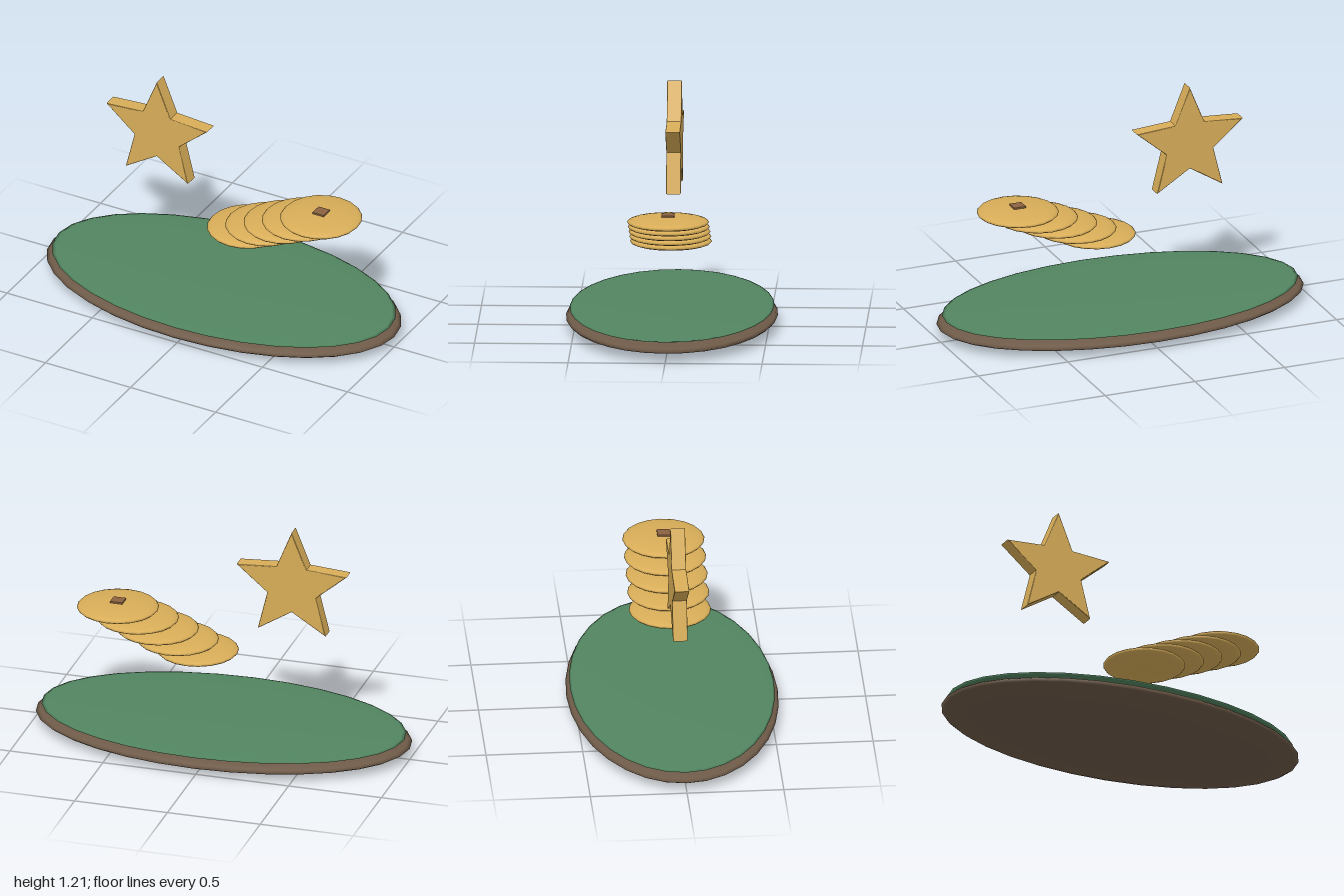
import * as THREE from 'three';

const material = (color) => new THREE.MeshStandardMaterial({ color });

function addMesh(parent, name, geometry, mat, x, y, z) {
  const mesh = new THREE.Mesh(geometry, mat);
  mesh.name = name;
  mesh.position.set(x, y, z);
  parent.add(mesh);
  return mesh;
}

// Flattened sphere with half-sizes rx, ry, rz
function lens(rx, ry, rz, segments, rings) {
  return new THREE.SphereGeometry(1, segments, rings).scale(rx, ry, rz);
}

function starShape(outer, inner) {
  const points = [];
  for (let i = 0; i < 10; i++) {
    const r = i % 2 ? inner : outer;
    const a = Math.PI / 2 + (i * Math.PI) / 5;
    points.push(new THREE.Vector2(r * Math.cos(a), r * Math.sin(a)));
  }
  return new THREE.Shape(points);
}

export function createModel() {
  const model = new THREE.Group();
  model.name = 'starAndCoins';
  const gold = material(0xd8ad58);

  // Oval base with a thin green top
  addMesh(model, 'base', lens(1, 0.059, 0.546, 32, 16), material(0x6e5a48), 0, 0.06, 0);
  addMesh(model, 'baseTop', lens(0.97, 0.017, 0.527, 32, 16), material(0x528560), 0, 0.105, 0);

  // Leaning stack of coins
  const coins = new THREE.Group();
  coins.name = 'coinStack';
  model.add(coins);
  const coinGeometry = lens(0.212, 0.03, 0.212, 20, 12);
  for (let i = 0; i < 5; i++) {
    addMesh(coins, 'coin' + (i + 1), coinGeometry, gold, 0.141 + i * 0.1075, 0.474 + i * 0.0463, 0);
  }

  // Small square stud on the top coin
  addMesh(coins, 'coinStud', new THREE.BoxGeometry(0.066, 0.018, 0.066), material(0x8a6240), 0.571, 0.688, 0);

  // Floating five-pointed star with a slight bevel
  const bevel = 0.005;
  const starGeometry = new THREE.ExtrudeGeometry(starShape(0.311, 0.138), {
    depth: 0.076 - 2 * bevel,
    bevelEnabled: true,
    bevelThickness: bevel,
    bevelSize: bevel,
    bevelOffset: -bevel,
    bevelSegments: 2,
  });
  starGeometry.translate(0, 0, -0.038 + bevel);
  addMesh(model, 'star', starGeometry, gold, -0.375, 0.904, 0);

  return model;
}
